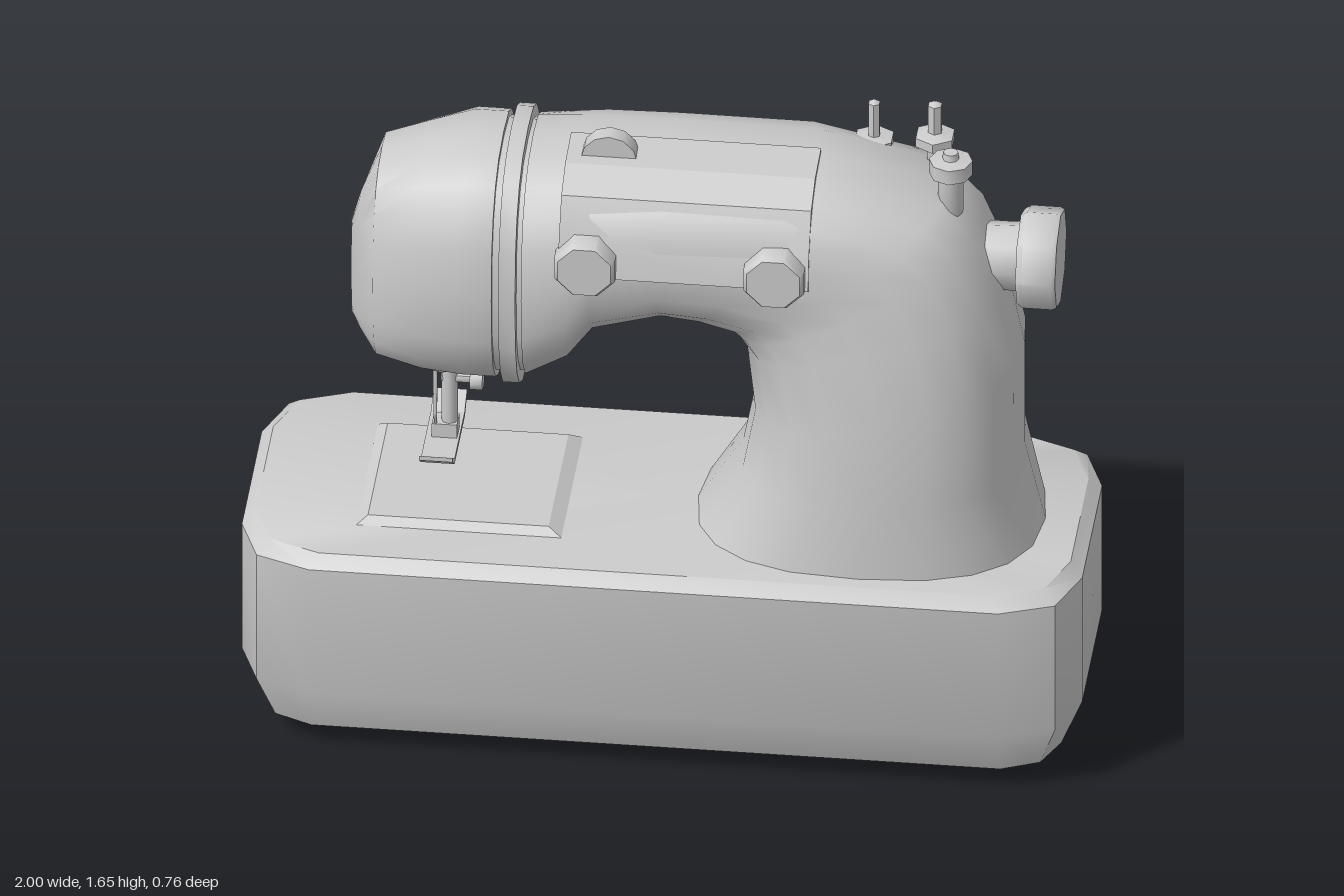
import * as THREE from 'three';
import { toCreasedNormals } from 'three/addons/utils/BufferGeometryUtils.js';

const material = new THREE.MeshStandardMaterial({ color: 0xcccccc });

function part(parent, name, geometry, x = 0, y = 0, z = 0) {
  const mesh = new THREE.Mesh(geometry, material);
  mesh.name = name;
  mesh.position.set(x, y, z);
  parent.add(mesh);
  return mesh;
}

// Skin a list of equal-length rings of [x, y, z] and cap both ends.
function loft(rings, crease = 0.75) {
  const n = rings[0].length;
  const points = rings.flat();
  const index = [];
  for (let r = 0; r < rings.length - 1; r++) {
    for (let i = 0; i < n; i++) {
      const a = r * n + i, b = r * n + (i + 1) % n;
      index.push(a, b, b + n, a, b + n, a + n);
    }
  }
  [0, rings.length - 1].forEach((r, end) => {
    const c = [0, 1, 2].map(k => rings[r].reduce((s, p) => s + p[k], 0) / n);
    points.push(c);
    for (let i = 0; i < n; i++) {
      const a = r * n + i, b = r * n + (i + 1) % n;
      index.push(points.length - 1, ...(end ? [a, b] : [b, a]));
    }
  });
  // Turn the faces outward if the enclosed volume comes out negative.
  let volume = 0;
  for (let i = 0; i < index.length; i += 3) {
    const [a, b, c] = [0, 1, 2].map(k => new THREE.Vector3(...points[index[i + k]]));
    volume += a.dot(b.cross(c));
  }
  if (volume < 0) index.reverse();
  const geometry = new THREE.BufferGeometry();
  geometry.setAttribute('position', new THREE.Float32BufferAttribute(points.flat(), 3));
  geometry.setIndex(index);
  return toCreasedNormals(geometry, crease);
}

// Rounded section spanning an outer and an inner point, with half width w in z.
function section(ox, oy, ix, iy, w, power = 2.5, count = 20) {
  const round = t => Math.sign(t) * Math.abs(t) ** (2 / power);
  return Array.from({ length: count }, (_, i) => {
    const a = i / count * Math.PI * 2;
    const u = (1 + round(Math.cos(a))) / 2;
    return [ix + (ox - ix) * u, iy + (oy - iy) * u, w * round(Math.sin(a))];
  });
}
const upright = (x, top, bottom, w, power = 2.6) => section(x, top, x, bottom, w, power);

// Rectangle with two-step cut corners, c = corner length, d = depth of the middle point.
function plan(y, hx, hz, c, d) {
  const corner = [[hx, hz - c], [hx - d, hz - d], [hx - c, hz]];
  const flip = (sx, sz) => corner.map(([x, z]) => [x * sx, y, z * sz]);
  return [...flip(1, 1), ...flip(-1, 1).reverse(), ...flip(-1, -1), ...flip(1, -1).reverse()];
}

// Turned part from [radius, height] pairs.
const turned = (profile, sides) => toCreasedNormals(
  new THREE.LatheGeometry(profile.map(p => new THREE.Vector2(...p)), sides), 0.9);

function createModel() {
  const model = new THREE.Group();
  model.name = 'sewingMachine';

  // Base with rounded underside
  part(model, 'base', loft([
    plan(0, 0.81, 0.2, 0.04, 0.012),
    plan(0.06, 0.95, 0.33, 0.13, 0.04),
    plan(0.18, 1, 0.38, 0.18, 0.05),
    plan(0.53, 1, 0.38, 0.18, 0.05),
    plan(0.56, 0.97, 0.35, 0.17, 0.048),
  ], 0.7));

  // Bevelled needle plate
  const rect = (y, x0, x1, z) => [[x0, y, -z], [x0, y, z], [x1, y, z], [x1, y, -z]];
  part(model, 'needlePlate', loft([rect(0.55, -0.74, -0.22, 0.23), rect(0.578, -0.7, -0.27, 0.2)], 0.1));

  // Column bending over into the arm
  part(model, 'columnAndArm', loft([
    section(0.89, 0.555, 0.06, 0.555, 0.315),
    section(0.84, 0.77, 0.17, 0.73, 0.31),
    section(0.84, 1.05, 0.2, 0.89, 0.3),
    section(0.8, 1.25, 0.18, 1.06, 0.28),
    section(0.74, 1.4, 0.155, 1.09, 0.268),
    section(0.66, 1.49, 0.13, 1.11, 0.26),
    section(0.34, 1.56, 0.06, 1.13, 0.26),
    section(0, 1.56, -0.01, 1.14, 0.26),
    section(-0.17, 1.56, -0.17, 1.09, 0.26),
    section(-0.23, 1.56, -0.23, 1, 0.26),
    section(-0.33, 1.555, -0.33, 0.935, 0.255),
  ], 0.9));

  // Head, joint and collar
  part(model, 'head', loft([
    upright(-0.4, 1.555, 0.925, 0.257),
    upright(-0.48, 1.555, 0.925, 0.257),
    upright(-0.58, 1.525, 0.925, 0.228),
    upright(-0.69, 1.49, 0.945, 0.19),
    upright(-0.74, 1.36, 0.985, 0.065),
    upright(-0.762, 1.28, 1.02, 0.012),
  ], 0.9));
  part(model, 'headJoint', loft([upright(-0.42, 1.54, 0.94, 0.245), upright(-0.31, 1.54, 0.95, 0.245)]));
  part(model, 'collar', loft([upright(-0.382, 1.57, 0.915, 0.27), upright(-0.342, 1.57, 0.915, 0.27)]));

  // Control panel on the front shoulder of the arm
  const panelEdge = [[0, 1.564], [0.12, 1.555], [0.2, 1.515], [0.25, 1.42], [0.267, 1.33], [0.2, 1.3], [0, 1.45]];
  part(model, 'controlPanel', loft([-0.24, 0.355].map(x => panelEdge.map(([z, y]) => [x, y, z])), 0.35));

  // Two dials and the tension wheel
  for (const x of [-0.175, 0.275]) {
    const dial = part(model, 'dial', turned([[0, 0], [0.078, 0], [0.078, 0.075], [0.068, 0.09], [0, 0.09]], 8), x, 1.362, 0.205);
    dial.rotation.set(Math.PI / 2, Math.PI / 8, 0);
  }
  const wheel = new THREE.CylinderGeometry(0.068, 0.068, 0.045, 12);
  wheel.rotateX(Math.PI / 2);
  part(model, 'tensionWheel', wheel, -0.14, 1.545, 0.065);

  // Hand wheel on its hub
  const hand = part(model, 'handWheel',
    turned([[0, 0], [0.08, 0], [0.085, 0.14], [0.115, 0.14], [0.125, 0.155], [0.125, 0.225], [0.12, 0.235], [0, 0.235]], 8),
    0.69, 1.295, 0);
  hand.rotation.z = -Math.PI / 2;

  // Spool pins and bobbin winder
  part(model, 'spoolPinRear', turned([[0, 1.42], [0.02, 1.42], [0.02, 1.485], [0.05, 1.485], [0.05, 1.515],
    [0.015, 1.52], [0.015, 1.61], [0, 1.62]], 6), 0.465, 0, -0.14);
  part(model, 'spoolPinMiddle', turned([[0, 1.42], [0.018, 1.46], [0.022, 1.53], [0.05, 1.538], [0.05, 1.562],
    [0.018, 1.57], [0.018, 1.645], [0, 1.655]], 6), 0.615, 0, -0.095);
  part(model, 'bobbinWinder', turned([[0, 1.4], [0.012, 1.41], [0.03, 1.45], [0.03, 1.55], [0.052, 1.552],
    [0.052, 1.59], [0.02, 1.595], [0.018, 1.612], [0, 1.612]], 8), 0.67, 0, 0.055);

  // Needle and presser foot assembly
  const needle = new THREE.Group();
  needle.name = 'needleAssembly';
  model.add(needle);
  part(needle, 'needleCollar', turned([[0, 0.89], [0.045, 0.89], [0.06, 0.908], [0.06, 0.94], [0, 0.94]], 8), -0.545, 0, 0);
  part(needle, 'presserBar', new THREE.CylinderGeometry(0.02, 0.02, 0.22, 8), -0.53, 0.8, -0.01);
  part(needle, 'needle', new THREE.CylinderGeometry(0.007, 0.002, 0.28, 6), -0.562, 0.76, 0.01);
  const screw = part(needle, 'clampScrew',
    turned([[0, 0], [0.012, 0], [0.012, 0.07], [0.028, 0.07], [0.028, 0.1], [0, 0.1]], 8), -0.55, 0.845, -0.01);
  screw.rotation.z = -Math.PI / 2;

  // Foot sole with turned-up tips
  const sole = [[-0.15, 0.72], [-0.1, 0.688], [0.1, 0.688], [0.15, 0.72], [0.15, 0.708], [0.105, 0.674], [-0.105, 0.674], [-0.15, 0.708]];
  const shape = new THREE.Shape(sole.map(([z, y]) => new THREE.Vector2(-z, y)));
  const foot = new THREE.ExtrudeGeometry(shape, { depth: 0.08, bevelEnabled: false });
  foot.rotateY(Math.PI / 2);
  part(needle, 'presserFoot', foot, -0.585, 0, 0);
  part(needle, 'footAnkle', new THREE.BoxGeometry(0.06, 0.04, 0.05), -0.54, 0.705, -0.01);

  return model;
}

export { createModel };
